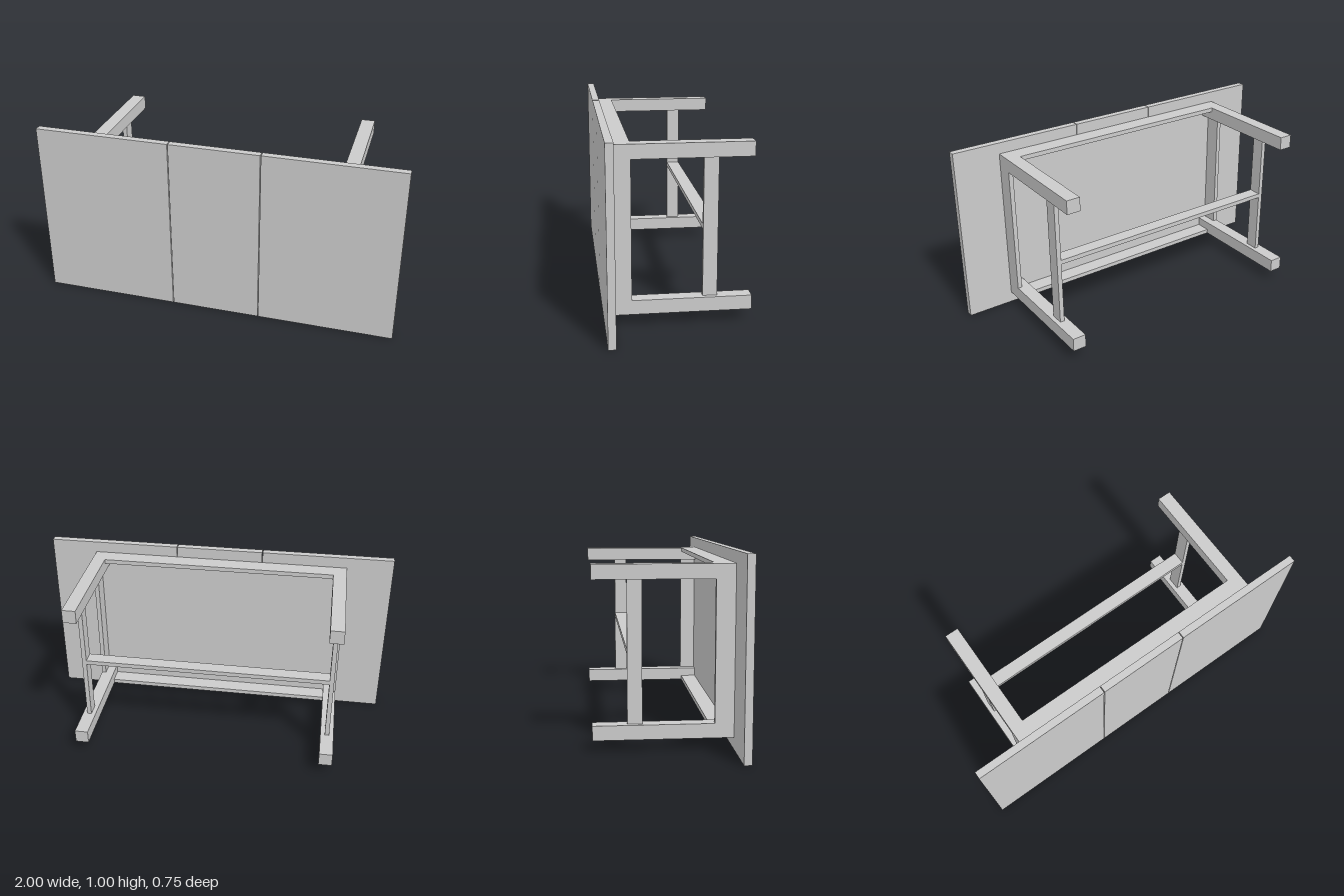
import * as THREE from 'three';

export function createModel() {
  const model = new THREE.Group();
  model.name = 'tableOnItsSide';
  const material = new THREE.MeshStandardMaterial({ color: 0xcccccc, flatShading: true });

  // Box given by its extents along each axis
  const box = (name, [x0, x1], [y0, y1], [z0, z1]) => {
    const mesh = new THREE.Mesh(new THREE.BoxGeometry(x1 - x0, y1 - y0, z1 - z0), material);
    mesh.position.set((x0 + x1) / 2, (y0 + y1) / 2, (z0 + z1) / 2);
    mesh.name = name;
    model.add(mesh);
  };
  // Extents mirrored to the chosen side of a centre
  const side = (s, a, b, c = 0) => (s > 0 ? [c + a, c + b] : [c - b, c - a]);

  const board = 0.025;          // thickness of aprons and braces
  const topZ = [0.335, 0.375];  // table top
  const apronZ = [0.2375, 0.335];
  const braceZ = [-0.2, -0.125];
  const between = [0.1375, 0.8625];

  // Table top: centre leaf and two end leaves with narrow seams
  box('centreLeaf', [-0.248, 0.248], [0, 1], topZ);
  for (const s of [-1, 1]) box('endLeaf', side(s, 0.252, 1), [0, 1], topZ);

  // Thin backing plate inside the apron frame
  box('backingPlate', [-0.71, 0.71], [0.0875, 0.9125], [0.327, 0.335]);

  for (const s of [-1, 1]) {
    // Square legs
    for (const t of [-1, 1]) {
      box('leg', side(s, 0.6625, 0.7375), side(t, 0.3625, 0.4375, 0.5), [-0.375, 0.335]);
    }
    // Aprons flush with the outer leg faces
    box('endApron', side(s, 0.7375 - board, 0.7375), between, apronZ);
    box('longApron', [-0.6625, 0.6625], side(s, 0.4375 - board, 0.4375, 0.5), apronZ);
    // Braces centred between each pair of legs
    box('endBrace', side(s, 0.7 - board / 2, 0.7 + board / 2), between, braceZ);
  }

  // Long stretcher joining the end braces
  box('stretcher', [-0.6875, 0.6875], [0.5 - board / 2, 0.5 + board / 2], braceZ);
  return model;
}
